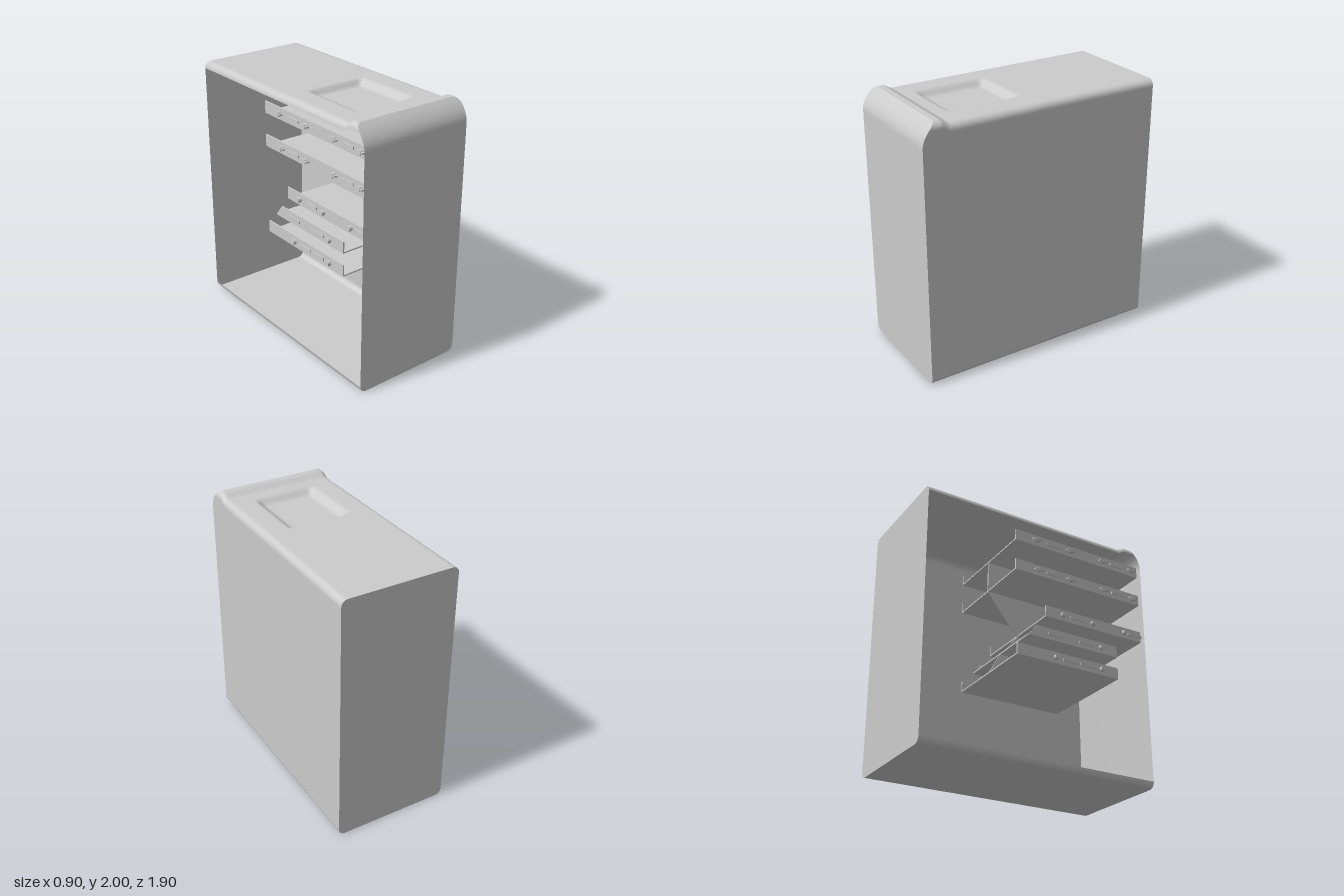
import * as THREE from 'three';

const mat = new THREE.MeshStandardMaterial({ color: 0xcccccc, side: THREE.DoubleSide });
const HALF = 0.45, BACK = -0.95, FRONT = 0.95, R = 0.05, TOP = 2, ARC = 6;

const clamp01 = t => Math.min(1, Math.max(0, t));
const smooth = (a, b, v) => { const t = clamp01((v - a) / (b - a)); return t * t * (3 - 2 * t); };
const range = (a, b, n) => Array.from({ length: n + 1 }, (_, i) => a + (b - a) * i / n);

// height of the roof along z, with the raised lip at the front
const roofY = z => 1.97 + 0.03 * clamp01((z - 0.745) / 0.055);
// the front bends back near the top
const frontZ = y => FRONT - 0.1 * clamp01((y - 1.83) / 0.17) ** 2;
// square tray sunk into the roof
const recess = (x, z) => 0.045 * (1 - smooth(0.19, 0.25, Math.abs(x)))
  * smooth(0.075, 0.13, z) * (1 - smooth(0.575, 0.65, z));

function mesh(name, geometry, parent) {
  const m = new THREE.Mesh(geometry, mat);
  m.name = name;
  parent.add(m);
  return m;
}

// smooth surface through rows of equally many points
function loft(rows) {
  const n = rows[0].length, index = [];
  for (let j = 0; j < rows.length - 1; j++) {
    for (let i = 0; i < n - 1; i++) {
      const a = j * n + i, b = a + 1, c = a + n, d = c + 1;
      index.push(a, b, d, a, d, c);
    }
  }
  const g = new THREE.BufferGeometry();
  g.setAttribute('position', new THREE.Float32BufferAttribute(rows.flat(2), 3));
  g.setIndex(index);
  g.computeVertexNormals();
  return g;
}

// open cross-section: floor, right wall and roof, with the other wall missing
function section(z, isFront) {
  const top = roofY(z), pts = [];
  const arc = (cx, cy, start) => {
    for (const a of range(start, start + Math.PI / 2, ARC))
      pts.push([cx + R * Math.cos(a), cy + R * Math.sin(a)]);
  };
  arc(-HALF + R, R, Math.PI);
  arc(HALF - R, R, Math.PI * 1.5);
  for (const y of range(1.7, top - R - 0.01, 8)) pts.push([HALF, y]);
  arc(HALF - R, top - R, 0);
  for (const x of range(0.38, -0.38, 38)) pts.push([x, top - recess(x, z)]);
  arc(-HALF + R, top - R, Math.PI / 2);
  return pts.map(([x, y]) => [x, y, isFront ? frontZ(y) : Math.min(z, frontZ(y))]);
}

function buildCase(parent) {
  const stations = [BACK, -0.4, 0, ...range(0.06, 0.68, 40), 0.735, 0.745, 0.755, 0.79, 0.8, 0.81, 0.83];
  mesh('caseShell', loft([...stations.map(z => section(z, false)), section(0.85, true)]), parent);

  // front panel: rows that follow the rounded outline and the bent top
  const ys = [
    ...range(0, Math.PI / 2, ARC).map(a => R - R * Math.cos(a)),
    ...range(1.83, TOP - R, 6),
    ...range(0, Math.PI / 2, ARC).slice(1).map(a => TOP - R + R * Math.sin(a)),
  ];
  const halfWidth = y => {
    const d = Math.max(R - y, y - (TOP - R), 0);
    return HALF - R + Math.sqrt(Math.max(0, R * R - d * d));
  };
  mesh('frontPanel', loft(ys.map(y => [-1, 0, 1].map(s => [s * halfWidth(y), y, frontZ(y)]))), parent);

  // flat rounded back panel
  const h = roofY(BACK), s = new THREE.Shape();
  s.absarc(HALF - R, R, R, -Math.PI / 2, 0);
  s.absarc(HALF - R, h - R, R, 0, Math.PI / 2);
  s.absarc(-HALF + R, h - R, R, Math.PI / 2, Math.PI);
  s.absarc(-HALF + R, R, R, Math.PI, Math.PI * 1.5);
  const back = mesh('backPanel', new THREE.ShapeGeometry(s, ARC), parent);
  back.rotation.y = Math.PI;
  back.position.z = BACK;
}

// thin upright plate given by its (z, y) corners, centred on x
function upright(name, corners, x, parent) {
  const t = 0.01;
  const shape = new THREE.Shape(corners.map(([z, y]) => new THREE.Vector2(-z, y)));
  const g = new THREE.ExtrudeGeometry(shape, { depth: t, bevelEnabled: false });
  g.translate(0, 0, -t / 2);
  g.rotateY(Math.PI / 2);
  mesh(name, g, parent).position.x = x;
}

function box(name, w, h, d, x, y, z, parent) {
  mesh(name, new THREE.BoxGeometry(w, h, d), parent).position.set(x, y, z);
}

// drive trays from top to bottom: height, back end, front end, fastener places
const trays = [
  { y: 1.765, z0: -0.2, z1: 0.94, pins: [-0.02, 0.29, 0.6, 0.88], slots: [0.14, 0.74], tabs: true },
  { y: 1.51, z0: -0.2, z1: 0.94, pins: [0.0, 0.29, 0.6, 0.88], slots: [0.14, 0.74], tabs: true },
  { y: 1.185, z0: 0.06, z1: 0.94, pins: [0.21, 0.48, 0.78], slots: [0.34, 0.88] },
  { y: 1.0, z0: -0.09, z1: 0.7, slant: 0.07, pins: [0.55], slots: [0.14, 0.42] },
  { y: 0.82, z0: -0.19, z1: 0.7, pins: [0.14, 0.55], slots: [0.27, 0.42] },
];

function buildTray(tray, above, parent) {
  const { y, z0, z1, pins, slots, tabs, slant = 0 } = tray;
  const railX = 0.41, railH = 0.09;
  const g = new THREE.Group();
  g.name = 'driveTray';
  parent.add(g);
  box('trayPlate', railX * 2, 0.01, z1 - z0, 0, y + 0.005, (z0 + z1) / 2, g);

  // central divider up to the tray above
  if (above) {
    const end = Math.min(z1, above.z1);
    upright('trayDivider', [[z0, y], [z1, y], [end, above.y], [above.z0, above.y]], 0, g);
  }

  for (const side of [-1, 1]) {
    const x = side * railX;
    upright('trayRail', [[z0, y], [z1, y], [z1, y + railH], [z0 + slant, y + railH]], x, g);
    for (const z of slots)
      box('railSlot', 0.012, 0.022, 0.13, x + side * 0.007, y + railH / 2, z, g);
    for (const z of pins) {
      const pin = mesh('railPin', new THREE.CylinderGeometry(0.02, 0.02, 0.03, 12), g);
      pin.rotation.z = Math.PI / 2;
      pin.position.set(x + side * 0.018, y + railH / 2, z);
      if (tabs) box('railTab', 0.03, 0.012, 0.07, x + side * 0.015, y + railH / 2, z, g);
    }
  }
}

export function createModel() {
  const model = new THREE.Group();
  model.name = 'computerCase';
  buildCase(model);
  trays.forEach((tray, i) => buildTray(tray, trays[i - 1], model));
  return model;
}
